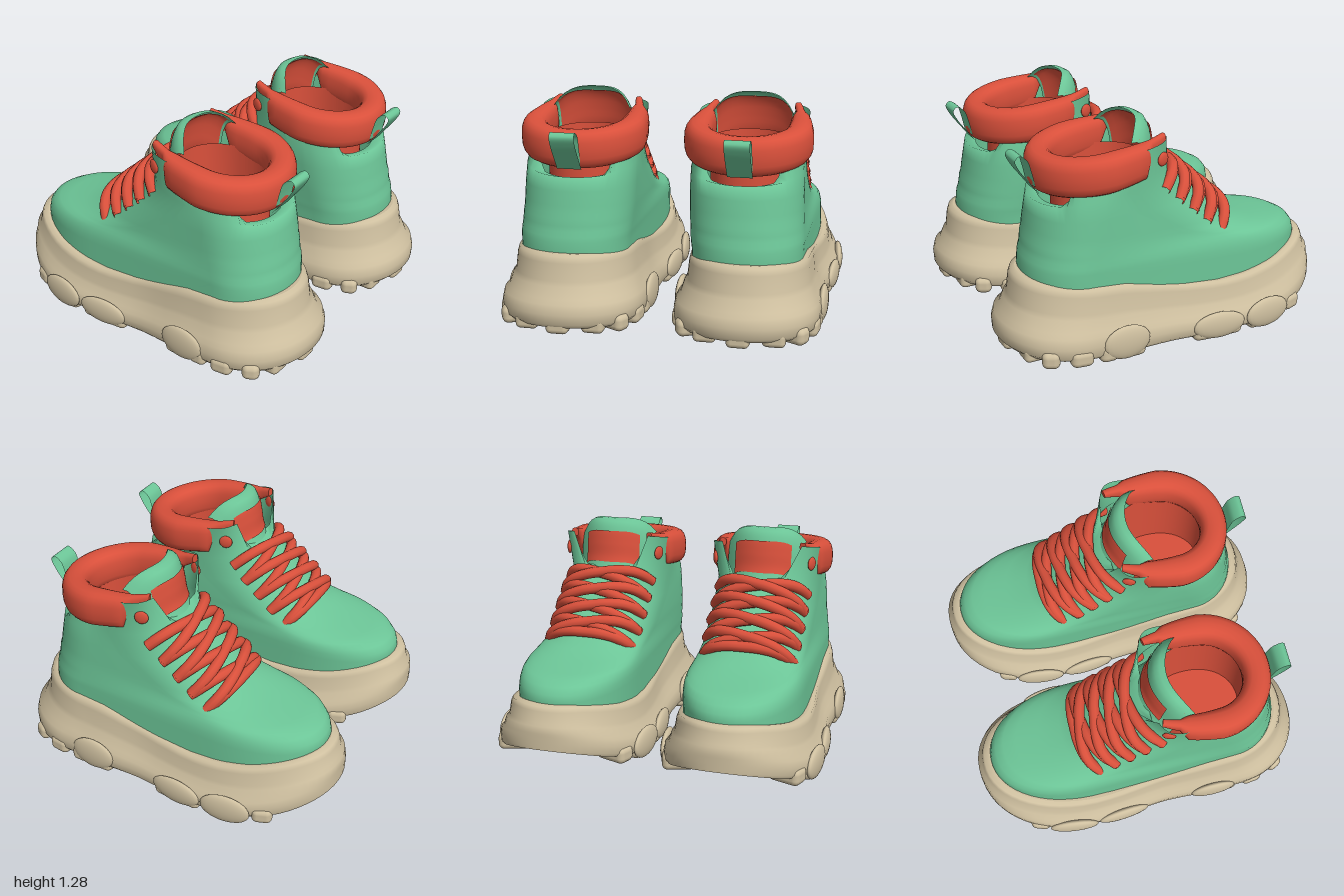
import * as THREE from 'three';
import { RoundedBoxGeometry } from 'three/addons/geometries/RoundedBoxGeometry.js';

const mat = (name, color) => {
  const m = new THREE.MeshStandardMaterial({ color, side: THREE.DoubleSide });
  m.name = name;
  return m;
};
const lerp = THREE.MathUtils.lerp;
const V = (x, y, z) => new THREE.Vector3(x, y, z);

// piecewise interpolation through [x, y] pairs
const table = (pts) => (x) => {
  if (x <= pts[0][0]) return pts[0][1];
  for (let i = 1; i < pts.length; i++) {
    const [x0, y0] = pts[i - 1], [x1, y1] = pts[i];
    if (x <= x1) return lerp(y0, y1, (x - x0) / (x1 - x0));
  }
  return pts[pts.length - 1][1];
};

// surface through rows of points; closed joins row ends, caps close the symmetric end rings
function loft(rows, closed = true, capLow = false, capHigh = false) {
  const n = rows[0].length, pos = [], idx = [];
  rows.forEach((r) => r.forEach((p) => pos.push(p.x, p.y, p.z)));
  for (let i = 0; i < rows.length - 1; i++) {
    for (let j = 0; j < (closed ? n : n - 1); j++) {
      const a = i * n + j, b = i * n + (j + 1) % n;
      idx.push(a, b, b + n, a, b + n, a + n);
    }
  }
  const cap = (ring, up) => {
    const base = pos.length / 3;
    ring.forEach((p) => pos.push(p.x, p.y, p.z));
    for (let j = 0; j < n / 2; j++) {
      const a = base + j, b = base + j + 1, c = base + n - j - 1, d = base + (n - j) % n;
      if (up) idx.push(a, b, c, a, c, d);
      else idx.push(a, c, b, a, d, c);
    }
  };
  if (capLow) cap(rows[0], false);
  if (capHigh) cap(rows[rows.length - 1], true);
  const g = new THREE.BufferGeometry();
  g.setAttribute('position', new THREE.Float32BufferAttribute(pos, 3));
  g.setIndex(idx);
  g.computeVertexNormals();
  return g;
}

// foot-shaped outline: toe at F (length a, half width w1, squareness n), heel at B (length b, half width w2, squareness m)
function halfWidth(x, { F, a, w1, B, b, w2, n = 2.15, m = 2.1, waist = 0 }) {
  const xf = F + a, xb = B - b;
  const round = (t, e) => Math.pow(Math.max(0, 1 - Math.pow(Math.min(1, t), e)), 1 / e);
  const pinch = 1 - waist * Math.exp(-Math.pow((x - 0.08) / 0.2, 2));
  if (x < xf) return w1 * round((xf - x) / a, n) * pinch;
  if (x > xb) return w2 * round((x - xb) / b, m) * pinch;
  return lerp(w1, w2, (x - xf) / (xb - xf)) * pinch;
}
function outline(p, zc, yOf) {
  const xs = [], Q = 14;
  const ease = (k) => 1 - Math.pow(Math.max(0, Math.cos(k / Q * Math.PI / 2)), 0.9);
  for (let k = 0; k <= Q; k++) xs.push(p.F + p.a * ease(k));
  for (let k = 1; k < 10; k++) xs.push(lerp(p.F + p.a, p.B - p.b, k / 10));
  for (let k = Q; k >= 0; k--) xs.push(p.B - p.b * ease(k));
  const side = (s) => xs.map((x) => {
    const h = halfWidth(x, p);
    return V(x, yOf(x, h), zc + s * h);
  });
  return [...side(1), ...side(-1).slice(1, -1).reverse()];
}

const soleTop = table([[-0.95, 0.435], [-0.88, 0.43], [-0.6, 0.36], [-0.4, 0.33], [-0.22, 0.32], [0, 0.34],
  [0.2, 0.38], [0.36, 0.42], [0.6, 0.44], [0.9, 0.47]]);
const soleBase = table([[-1, 0.19], [-0.8, 0.11], [-0.65, 0.07], [-0.45, 0.045], [0, 0.035], [0.3, 0.045], [0.85, 0.06], [1, 0.075]]);
const soleShape = (o) => ({ F: -0.95 - 0.05 * Math.min(1, 2.5 * o), a: 0.62, w1: 0.37 + 0.08 * o, B: 0.89 + 0.11 * o,
  b: 0.42, w2: 0.335 + 0.08 * o, waist: 0.05 });

export function createModel() {
  const green = mat('greenLeather', 0x6cc597), red = mat('redTrim', 0xd9503b), beige = mat('beigeRubber', 0xcfc0a0);
  const model = new THREE.Group();
  const boots = ['leftBoot', 'rightBoot'].map((name) => {
    const g = new THREE.Group();
    g.name = name;
    model.add(g);
    return g;
  });
  // adds a part to one boot and its mirror image to the other
  const add = (name, geo, material) => {
    const flipped = geo.clone().scale(1, 1, -1);
    const ix = flipped.index ? Array.from(flipped.index.array)
      : Array.from({ length: flipped.attributes.position.count }, (_, i) => i);
    for (let i = 0; i < ix.length; i += 3) [ix[i], ix[i + 1]] = [ix[i + 1], ix[i]];
    flipped.setIndex(ix);
    [geo, flipped].forEach((g, i) => {
      const m = new THREE.Mesh(g, material);
      m.name = name;
      boots[i].add(m);
    });
  };

  // platform sole: [depth from top, outward swell]
  const sz = 0.505;
  const layers = [[1, 0.75], [0.94, 0.97], [0.8, 1], [0.66, 0.88], [0.6, 0.62], [0.43, 0.38], [0.37, 0.22],
    [0.12, 0.1], [0.03, 0], [0, -0.25]];
  add('sole', loft(layers.map(([s, o]) => outline(soleShape(o), sz, (x) => lerp(soleTop(x), soleBase(x), s))),
    true, true, true), beige);

  // tread lugs and side pads along both edges
  const edge = soleShape(1);
  for (const s of [1, -1]) {
    const place = (geo, x, y, inset) => {
      const slope = (halfWidth(x + 0.01, edge) - halfWidth(x - 0.01, edge)) / 0.02;
      return geo.rotateY(-s * Math.atan(slope)).translate(x, y, sz + s * (halfWidth(x, edge) - inset));
    };
    for (const [x, w] of [[-0.68, 0.12], [-0.54, 0.13], [-0.42, 0.09], [-0.27, 0.13], [-0.11, 0.15], [0.35, 0.14],
      [0.5, 0.11], [0.65, 0.13], [0.79, 0.1]]) {
      add('treadLug', place(new RoundedBoxGeometry(w, 0.1, 0.2, 3, 0.035), x, soleBase(x) + 0.016, 0.093), beige);
    }
    for (const [x, y, r, h] of [[-0.5, 0.1, 0.15, 0.09], [-0.18, 0.09, 0.16, 0.08], [0.4, 0.12, 0.14, 0.1]]) {
      add('sidePad', place(new THREE.SphereGeometry(1, 24, 14).scale(r, h, 0.03), x, y, 0.005), beige);
    }
  }
  for (const z of [-0.19, 0, 0.19]) {
    add('heelLug', new RoundedBoxGeometry(0.14, 0.09, 0.13, 3, 0.03).translate(0.91 - Math.abs(z) * 0.25, 0.075, sz + z), beige);
  }
  for (const x of [-0.45, -0.2, 0.5, 0.7]) {
    add('treadBar', new RoundedBoxGeometry(0.14, 0.05, 0.5, 2, 0.02).translate(x, soleBase(x) + 0.01, sz), beige);
  }

  // leather upper: toe x, toe y, toe length, toe half width, heel x, heel y, heel half width
  const upper = [[-0.91, 0.3, 0.55, 0.335, 0.84, 0.3, 0.315], [-0.91, 0.44, 0.55, 0.335, 0.84, 0.47, 0.315],
    [-0.9, 0.48, 0.55, 0.335, 0.835, 0.52, 0.32], [-0.87, 0.518, 0.53, 0.33, 0.83, 0.55, 0.32],
    [-0.82, 0.543, 0.51, 0.322, 0.82, 0.58, 0.32], [-0.74, 0.556, 0.5, 0.315, 0.815, 0.61, 0.32],
    [-0.6, 0.576, 0.48, 0.31, 0.81, 0.65, 0.32],
    [-0.465, 0.61, 0.45, 0.31, 0.8, 0.68, 0.32], [-0.38, 0.655, 0.45, 0.31, 0.795, 0.72, 0.32],
    [-0.2, 0.81, 0.45, 0.31, 0.78, 0.8, 0.32], [-0.02, 0.975, 0.35, 0.31, 0.765, 0.88, 0.315],
    [0.045, 1.2, 0.2, 0.32, 0.7, 1.06, 0.275]];
  const last = upper.length - 1;
  add('upper', loft(upper.map(([F, fy, a, w1, B, by, w2], i) => {
    const top = i === last;
    // the top ring dips at the front to leave a notch between two flaps
    return outline({ F, a, w1, B, b: 0.3, w2, n: top ? 4 : i < 6 ? 2.15 : 2.5 }, lerp(0.5, 0.475, i / last), (x, h) =>
      lerp(fy, by, (x - F) / (B - F)) - (top ? 0.2 * (1 - THREE.MathUtils.smoothstep(h, 0.18, 0.24)) : 0));
  })), green);

  // red lining with insole
  const zc = 0.475;
  add('lining', loft([[0.1, 0.55, 0.55], [0.09, 1.05, 1.04]].map(([F, fy, by]) =>
    outline({ F, a: 0.25, w1: 0.22, B: 0.63, b: 0.27, w2: 0.22 }, zc, (x) => lerp(fy, by, (x - F) / 0.57)),
  ), true, true), red);

  // padded collar, thinning into the flaps at its front ends
  const collar = [];
  const start = Math.acos(-0.53);
  for (let i = 0; i <= 48; i++) {
    const t = lerp(-start, start, i / 48), c = Math.cos(t), s = Math.sin(t);
    const ax = c < 0 ? 0.6 : 0.29, x = 0.4 + ax * c;
    const out = V(c / ax, 0, s / 0.285).normalize();
    const rr = table([[0.08, 0.02], [0.19, 0.03], [0.22, 0.062], [0.42, 0.08]])(x);
    const rh = table([[0.08, 0.025], [0.19, 0.05], [0.22, 0.1], [0.4, 0.108]])(x);
    const y = table([[0.08, 1.19], [0.19, 1.14], [0.22, 1.085], [0.77, 1.015]])(x);
    const row = [];
    for (let k = 0; k < 20; k++) {
      const f = k / 20 * Math.PI * 2, q = (v) => Math.sign(v) * Math.pow(Math.abs(v), 0.75);
      row.push(V(x, y + rh * q(Math.sin(f)), zc + 0.285 * s).addScaledVector(out, rr * q(Math.cos(f))));
    }
    collar.push(row);
  }
  add('collar', loft(collar, true, true, true), red);

  // tongue, its lining and its blank patch share one curved sheet
  const spine = new THREE.CatmullRomCurve3([[-0.1, 0.86], [0, 0.97], [0.04, 1.05], [0.056, 1.14], [0.075, 1.22],
    [0.11, 1.275], [0.16, 1.28]].map(([x, y]) => V(x, y, 0)));
  const sheet = (u1, v0, v1, off) => {
    const rows = [];
    for (let i = 0; i <= 16; i++) {
      const v = lerp(v0, v1, i / 16), p = spine.getPointAt(v), t = spine.getTangentAt(v), row = [];
      for (let j = 0; j <= 16; j++) {
        const u = lerp(-u1, u1, j / 16), k = off > 0 ? off * (1.1 - u * u) : off;
        row.push(V(p.x + 0.11 * u * u + k * t.y, p.y - 0.1 * Math.pow(u, 4) - k * t.x, zc + 0.23 * u));
      }
      rows.push(row);
    }
    return loft(rows, false);
  };
  add('tongue', sheet(1, 0, 1, 0), green);
  add('tongueLining', sheet(0.95, 0.2, 0.95, 0.025), red);
  add('tonguePatch', sheet(0.74, 0.4, 0.76, -0.008), red);

  // criss-cross laces over the throat
  const lace = (s0, s1, lift) => {
    const pts = [-1.08, -0.92, -0.7, -0.35, 0, 0.35, 0.7, 0.92, 1.08].map((u) => {
      const s = lerp(s0, s1, (u + 1.08) / 2.16), w = Math.abs(u);
      const h = lift - 0.085 * w ** 3 - 0.03 * w ** 8;
      return V(-0.36 + 0.36 * s - 0.67 * h, 0.675 + 0.32 * s + 0.74 * h, 0.485 + 0.25 * u);
    });
    add('lace', new THREE.TubeGeometry(new THREE.CatmullRomCurve3(pts), 40, 0.032, 10), red);
  };
  lace(0, 0, 0.03);
  for (let i = 0; i < 4; i++) {
    lace(i / 4, (i + 1) / 4, 0.03);
    lace((i + 1) / 4, i / 4, 0.045);
  }

  // round eyelets on the flaps
  for (const s of [1, -1]) {
    add('eyelet', new THREE.SphereGeometry(0.04, 20, 12).scale(1, 1, 0.35).rotateY(-s * 0.35)
      .translate(0.11, 1.085, zc + s * 0.294), red);
  }

  // heel pull loop
  const loop = new THREE.CatmullRomCurve3([[0.74, 0.92], [0.785, 0.98], [0.85, 1.07], [0.873, 1.125], [0.85, 1.148],
    [0.805, 1.12], [0.78, 1.05], [0.76, 0.96]].map(([x, y]) => V(x, y, 0))).getPoints(40);
  add('pullLoop', loft(loop.map((p) => [V(p.x, p.y, zc + 0.07), V(p.x, p.y, zc - 0.07)]), false), green);

  return model;
}
